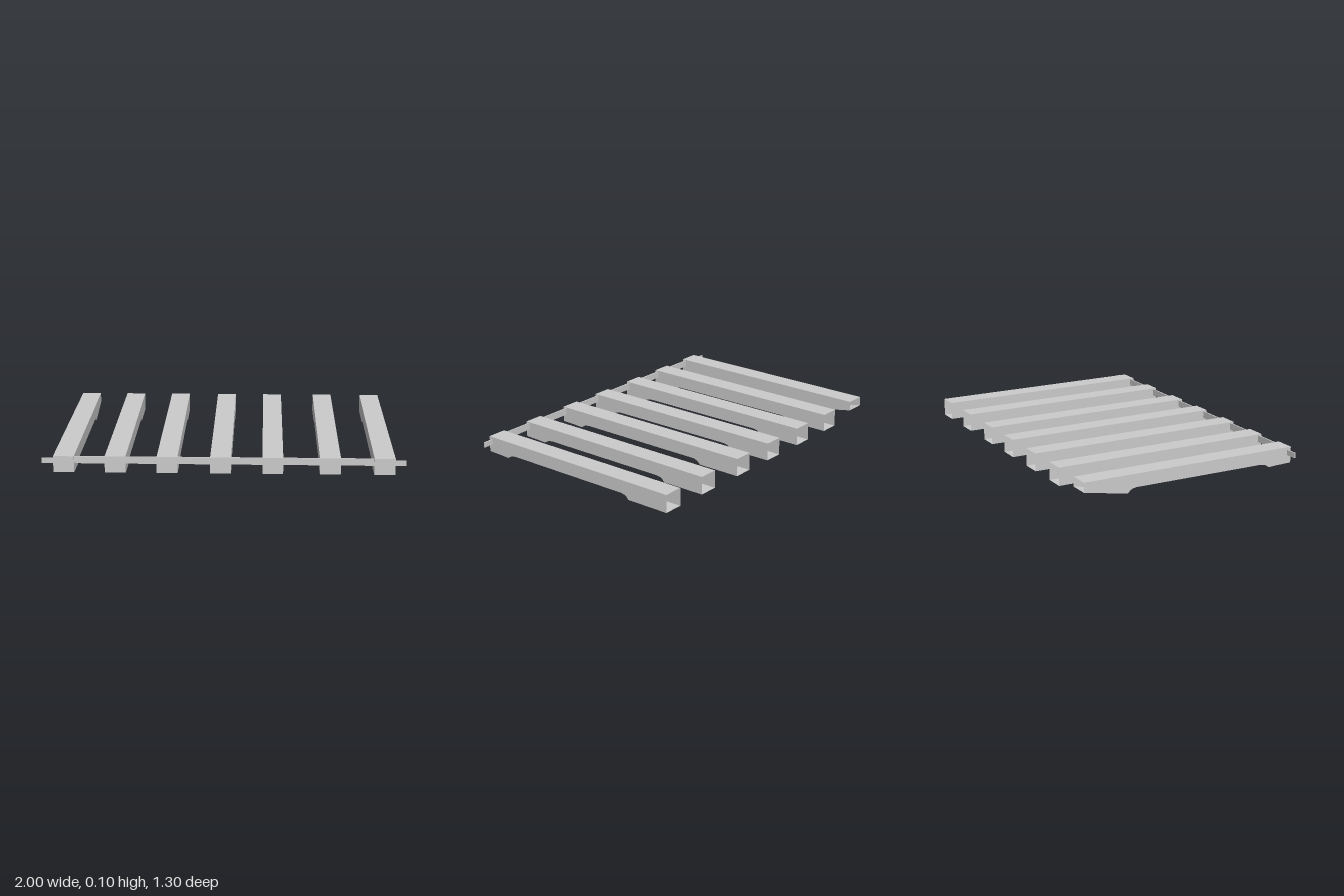
import * as THREE from 'three';

const material = new THREE.MeshStandardMaterial({ color: 0xcccccc, flatShading: true, side: THREE.DoubleSide });
const TOP = 0.105, HALF_WIDTH = 0.057;

// Underside of a beam from front to back, as [z, y]: raised middle between two deeper ends
const underside = [
  [0.65, 0.013], [0.57, 0.011], [0.505, 0.008], [0.485, 0.022], [0.465, 0.028], [0.44, 0.03],
  [-0.34, 0.03], [-0.362, 0.026], [-0.378, 0.017], [-0.39, 0.003], [-0.65, 0.003],
];

// Rectangular tube lofted along z, closed at the front and open at the back
function beamGeometry(profile) {
  const positions = [], index = [];
  for (const [z, y] of profile) {
    positions.push(-HALF_WIDTH, y, z, HALF_WIDTH, y, z, HALF_WIDTH, TOP, z, -HALF_WIDTH, TOP, z);
  }
  for (let i = 0; i < profile.length - 1; i++) {
    for (let k = 0; k < 4; k++) {
      const a = i * 4 + k, b = i * 4 + (k + 1) % 4;
      index.push(a, a + 4, b, b, a + 4, b + 4);
    }
  }
  index.push(0, 1, 2, 0, 2, 3);
  const indexed = new THREE.BufferGeometry();
  indexed.setAttribute('position', new THREE.Float32BufferAttribute(positions, 3));
  indexed.setIndex(index);
  const geometry = indexed.toNonIndexed();
  geometry.computeVertexNormals();
  return geometry;
}

function box(name, x0, x1, y0, y1, z0, z1) {
  const mesh = new THREE.Mesh(new THREE.BoxGeometry(x1 - x0, y1 - y0, z1 - z0), material);
  mesh.position.set((x0 + x1) / 2, (y0 + y1) / 2, (z0 + z1) / 2);
  mesh.name = name;
  return mesh;
}

export function createModel() {
  const model = new THREE.Group();
  model.name = 'beamRow';

  // Seven beams; the first has a back end that tapers upwards
  const straight = beamGeometry(underside);
  const tapered = beamGeometry([...underside.slice(0, -1), [-0.65, 0.05]]);
  [-0.876, -0.593, -0.308, -0.015, 0.271, 0.585, 0.882].forEach((x, i) => {
    const beam = new THREE.Mesh(i === 0 ? tapered : straight, material);
    beam.name = i === 0 ? 'taperedBeam' : 'beam';
    beam.position.x = x;
    model.add(beam);
  });

  // Thin rail through the front ends, with a raised strip between the outer beams
  model.add(box('rail', -1, 1, 0.06, 0.09, 0.626, 0.634));
  model.add(box('railStrip', -0.85, 0.85, 0.09, 0.1, 0.626, 0.634));
  return model;
}
